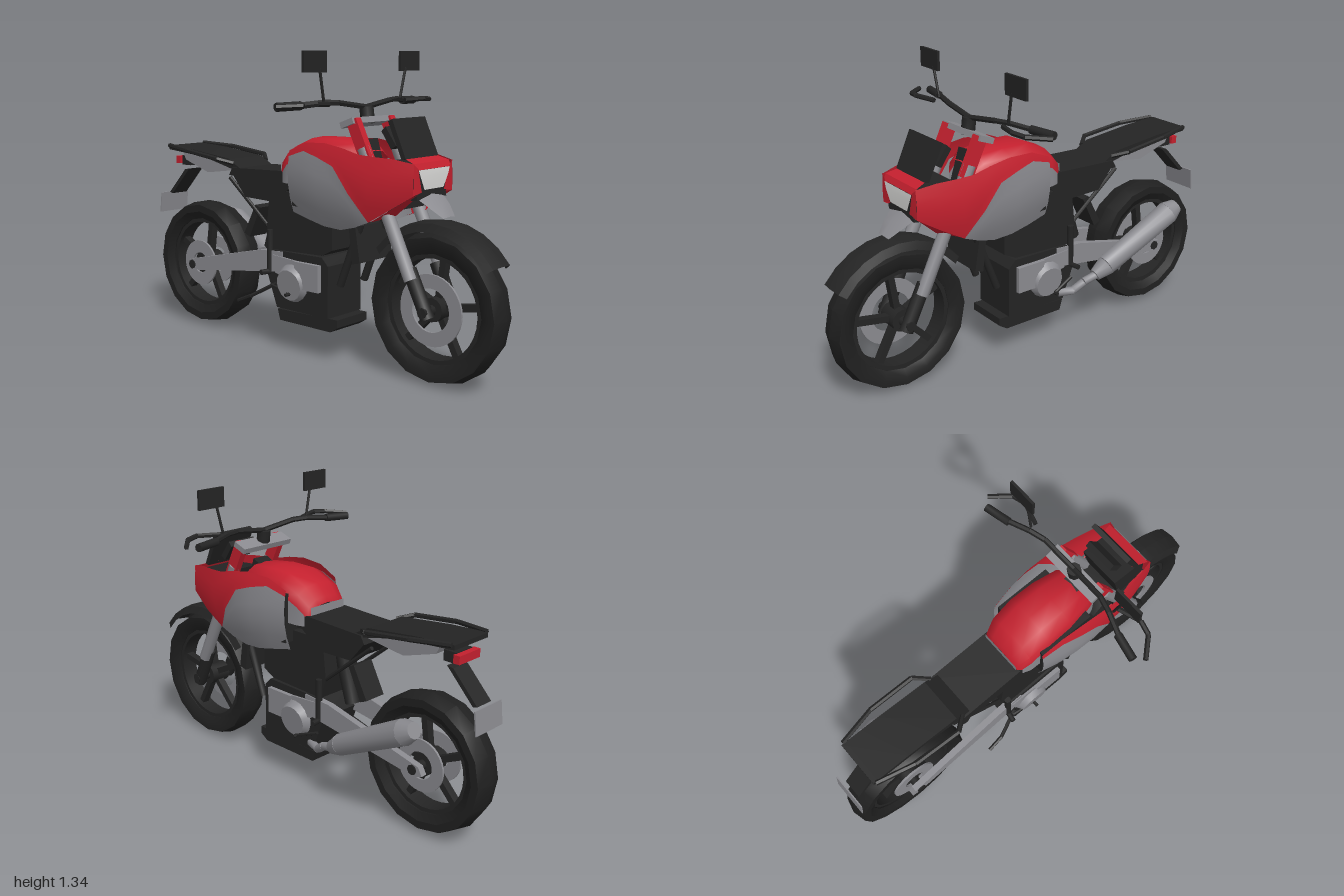
import * as THREE from 'three';
import { toCreasedNormals } from 'three/addons/utils/BufferGeometryUtils.js';

const paint = (name, color) => {
  const m = new THREE.MeshStandardMaterial({ color, side: THREE.DoubleSide });
  m.name = name;
  return m;
};

export function createModel() {
  const bike = new THREE.Group();
  bike.name = 'motorcycle';
  const red = paint('red paint', 0xc4202e), grey = paint('silver grey', 0x8a8a8f);
  const dark = paint('dark plastic', 0x242424), tyreMat = paint('tyre rubber', 0x202020);
  const lamp = paint('lamp glass', 0xd8d8d6);
  const V = (x, y, z) => new THREE.Vector3(x, y, z);

  const add = (name, geo, mat, crease = 0.6, parent = bike) => {
    const mesh = new THREE.Mesh(toCreasedNormals(geo, crease), mat);
    mesh.name = name;
    parent.add(mesh);
    return mesh;
  };
  // round bar between two points
  const rod = (name, a, b, r, mat, r2 = r, sides = 8, parent = bike) => {
    const p = V(...a), q = V(...b);
    const m = add(name, new THREE.CylinderGeometry(r2, r, p.distanceTo(q), sides), mat, 0.9, parent);
    m.position.copy(p).add(q).multiplyScalar(0.5);
    m.quaternion.setFromUnitVectors(V(0, 1, 0), q.sub(p).normalize());
    return m;
  };
  const pipe = (name, pts, r, mat, sides = 6) => {
    for (let i = 1; i < pts.length; i++) rod(name, pts[i - 1], pts[i], r, mat, r, sides);
  };
  // side outline of [z, y] points, extruded from x0 to x1
  const slab = (name, pts, x0, x1, mat) => {
    const s = new THREE.Shape(pts.map(p => new THREE.Vector2(...p)));
    const g = new THREE.ExtrudeGeometry(s, { depth: x1 - x0, bevelEnabled: false });
    return add(name, g.rotateY(-Math.PI / 2).translate(x1, 0, 0), mat, 0.3);
  };
  // surface through rows of points
  const sheet = (name, rows, mat, crease = 0.6) => {
    const n = rows[0].length, idx = [];
    for (let i = 0; i < rows.length - 1; i++)
      for (let j = 0; j < n - 1; j++) {
        const a = i * n + j, b = a + n;
        idx.push(a, b, a + 1, a + 1, b, b + 1);
      }
    const g = new THREE.BufferGeometry();
    g.setAttribute('position', new THREE.Float32BufferAttribute(rows.flat(2), 3));
    g.setIndex(idx);
    return add(name, g, mat, crease);
  };
  const ring = (name, outer, inner, width, x, mat, parent) => {
    const s = new THREE.Shape().absarc(0, 0, outer, 0, Math.PI * 2);
    s.holes.push(new THREE.Path().absarc(0, 0, inner, 0, Math.PI * 2, true));
    const g = new THREE.ExtrudeGeometry(s, { depth: width, bevelEnabled: false, curveSegments: 16 });
    add(name, g.rotateY(Math.PI / 2).translate(x - width / 2, 0, 0), mat, 0.5, parent);
  };

  // Wheels
  const wheel = (name, z, y, R, w) => {
    const g = new THREE.Group();
    g.name = name;
    g.position.set(0, y, z);
    bike.add(g);
    const prof = [[R - 0.085, -w * 0.7], [R - 0.05, -w], [R - 0.016, -w], [R, 0], [R - 0.016, w],
      [R - 0.05, w], [R - 0.085, w * 0.7], [R - 0.085, -w * 0.7]].map(p => new THREE.Vector2(...p));
    add('tyre', new THREE.LatheGeometry(prof, 16).rotateZ(Math.PI / 2), tyreMat, 0.5, g);
    ring('rim', R - 0.08, R - 0.105, 0.08, 0, dark, g);
    for (let i = 0; i < 5; i++) {
      const spoke = new THREE.BoxGeometry(0.035, R - 0.12, 0.028).translate(0, R / 2 - 0.03, 0);
      add('spoke', spoke.rotateX(0.14 + i * Math.PI * 0.4), dark, 0.6, g);
    }
    rod('hub', [-0.05, 0, 0], [0.05, 0, 0], 0.05, dark, 0.05, 12, g);
    rod('axle', [-0.12, 0, 0], [0.12, 0, 0], 0.022, dark, 0.022, 8, g);
    return g;
  };
  const front = wheel('frontWheel', 0.684, 0.318, 0.313, 0.062);
  ring('frontBrakeDisc', 0.148, 0.09, 0.01, -0.055, grey, front);
  const rear = wheel('rearWheel', -0.69, 0.315, 0.303, 0.066);
  ring('rearBrakeDisc', 0.115, 0.06, 0.01, 0.06, grey, rear);
  ring('sprocket', 0.11, 0.05, 0.01, -0.06, grey, rear);

  // Front mudguard
  const arc = [];
  for (let i = 0; i <= 8; i++) {
    const a = (36 + i * 13.2) * Math.PI / 180;
    arc.push([[-0.075, 0.318], [-0.06, 0.352], [0, 0.36], [0.06, 0.352], [0.075, 0.318]]
      .map(([x, r]) => [x, 0.318 + r * Math.sin(a), 0.684 + r * Math.cos(a)]));
  }
  sheet('frontMudguard', arc, dark, 0.3);

  // Fork, clamps, mirrors and bar ends, mirrored
  const forkZ = y => 0.68 - (y - 0.32) * 0.48;
  for (const s of [1, -1]) {
    const at = (x, y) => [s * x, y, forkZ(y)];
    rod('forkTube', at(0.108, 0.44), at(0.108, 0.95), 0.028, grey);
    rod('forkLeg', at(0.09, 0.29), at(0.094, 0.48), 0.03, dark);
    const top = add('forkTop', new THREE.BoxGeometry(0.032, 0.18, 0.055), red);
    top.position.set(s * 0.112, 0.98, forkZ(0.98));
    top.rotation.x = -0.45;
    pipe('handlebar', [[0, 1.11, 0.3], [s * 0.17, 1.133, 0.29], [s * 0.24, 1.135, 0.27], [s * 0.35, 1.125, 0.23]], 0.012, dark);
    rod('grip', [s * 0.33, 1.125, 0.235], [s * 0.445, 1.122, 0.21], 0.018, dark);
    pipe('handGuard', [[s * 0.25, 1.13, 0.31], [s * 0.35, 1.135, 0.34], [s * 0.41, 1.13, 0.325], [s * 0.48, 1.125, 0.245]], 0.011, dark);
    rod('mirrorStem', [s * 0.25, 1.14, 0.285], [s * 0.28, 1.27, 0.29], 0.006, dark);
    add('mirror', new THREE.BoxGeometry(0.135, 0.085, 0.012), dark).position.set(s * 0.308, 1.298, 0.288);
  }
  const clamp = add('topClamp', new THREE.BoxGeometry(0.28, 0.025, 0.07), grey);
  clamp.position.set(0, 1.05, 0.31);
  clamp.rotation.x = -0.35;
  add('lowerClamp', new THREE.BoxGeometry(0.25, 0.03, 0.07), dark).position.set(0, 0.72, 0.49);
  rod('barRiser', [0, 1.04, 0.31], [0, 1.11, 0.3], 0.03, dark);

  // Side panels: bulged sheet split into red and grey along a slanted border
  const width = z => (z > 0.25 ? 0.197 - 0.4 * (z - 0.25) ** 2 : 0.197 - 0.55 * (0.25 - z) ** 2);
  const bulge = (z, y) => width(z) - 0.05 * ((y - 0.82) / 0.2) ** 2;
  const border = [[0.435, 0.655], [0.36, 0.77], [0.28, 0.875], [0.19, 0.905], [0.1, 0.925], [0, 0.895]];
  const topEdge = [[0.47, 0.925], [0.4, 0.93], [0.32, 0.95], [0.22, 0.965], [0.1, 0.96], [0, 0.92]];
  const bottom = [[0.435, 0.655], [0.36, 0.625], [0.28, 0.605], [0.19, 0.61], [0.1, 0.63], [0, 0.65]];
  const redTop = [[0.645, 0.905], [0.56, 0.92], ...topEdge], redLow = [[0.645, 0.78], [0.54, 0.715], ...border];
  const panel = (name, hi, lo, s, mat) => sheet(name, hi.map((h, i) => [0, 0.25, 0.5, 0.75, 1].map(t => {
    const z = h[0] + (lo[i][0] - h[0]) * t, y = h[1] + (lo[i][1] - h[1]) * t;
    return [s * bulge(z, y), y, z];
  })), mat, 0.8);
  for (const s of [1, -1]) {
    panel('redSidePanel', redTop, redLow, s, red);
    panel('greySidePanel', border, bottom, s, grey);
    // front return from panel to lamp opening
    sheet('cowlReturn', [[[s * 0.133, 0.78, 0.645], [s * 0.085, 0.78, 0.64]],
      [[s * 0.143, 0.715, 0.54], [s * 0.1, 0.69, 0.54]], [[s * 0.135, 0.655, 0.435], [s * 0.1, 0.655, 0.435]]], red);
    sheet('cowlCheek', [[[s * 0.13, 0.905, 0.645], [s * 0.105, 0.885, 0.648]],
      [[s * 0.133, 0.78, 0.645], [s * 0.075, 0.79, 0.645]]], red);
  }
  slab('innerBody', [[0.28, 0.9], [0.01, 0.9], [0.01, 0.68], [0.28, 0.66]], -0.145, 0.145, dark);
  slab('headstock', [[0.42, 0.7], [0.33, 0.98], [0.26, 0.95], [0.26, 0.68]], -0.04, 0.04, dark);

  // Tank: red crown over a grey lower body
  const stations = [[0.35, 0.93, 0.09], [0.3, 0.965, 0.11], [0.18, 0.977, 0.128], [0.06, 0.975, 0.132], [-0.04, 0.932, 0.128], [-0.09, 0.885, 0.11], [-0.1, 0.86, 0.1]];
  const tank = f => stations.map(([z, top, w]) => f(top, w).map(([x, y]) => [x, y, z]));
  sheet('tankTop', tank((t, w) => [[-w, t - 0.08], [-w * 0.92, t - 0.03], [-w * 0.55, t - 0.005], [0, t],
    [w * 0.55, t - 0.005], [w * 0.92, t - 0.03], [w, t - 0.08]]), red, 1);
  sheet('tankBody', tank((t, w) => [[w, t - 0.08], [w, 0.77], [-w, 0.77], [-w, t - 0.08]]), grey, 0.5);
  sheet('tankBack', [[[-0.1, 0.78, -0.1], [0.1, 0.78, -0.1]], [[-0.1, 0.855, -0.1], [0.1, 0.855, -0.1]]], grey);

  // Nose: lamp, cowl, beak, screen and instruments
  slab('lampHousing', [[0.64, 0.76], [0.635, 0.885], [0.46, 0.9], [0.5, 0.74]], -0.1, 0.1, dark);
  sheet('headlight', [[[-0.105, 0.88, 0.65], [0.105, 0.88, 0.65]], [[-0.095, 0.855, 0.652], [0.095, 0.855, 0.652]],
    [[-0.065, 0.8, 0.65], [0.065, 0.8, 0.65]]], lamp);
  sheet('noseCowl', [[[-0.115, 0.88, 0.648], [0.115, 0.88, 0.648]], [[-0.12, 0.905, 0.635], [0.12, 0.905, 0.635]],
    [[-0.1, 0.928, 0.56], [0.1, 0.928, 0.56]]], red);
  sheet('beak', [[[-0.095, 0.775, 0.62], [0, 0.785, 0.63], [0.095, 0.775, 0.62]],
    [[-0.07, 0.73, 0.68], [0, 0.745, 0.69], [0.07, 0.73, 0.68]], [[-0.04, 0.69, 0.725], [0, 0.695, 0.73], [0.04, 0.69, 0.725]]], grey);
  slab('windscreen', [[0.59, 0.92], [0.57, 0.915], [0.5, 1.065], [0.52, 1.075]], -0.11, 0.11, dark);
  slab('instruments', [[0.515, 0.965], [0.49, 0.95], [0.44, 1.02], [0.46, 1.04]], -0.075, 0.075, dark);

  // Seat, tail and rack
  slab('riderSeat', [[-0.02, 0.8], [-0.09, 0.82], [-0.4, 0.81], [-0.42, 0.775], [-0.03, 0.755]], -0.115, 0.115, dark);
  slab('passengerSeat', [[-0.36, 0.81], [-0.43, 0.848], [-0.68, 0.875], [-0.86, 0.885], [-0.86, 0.865], [-0.6, 0.845], [-0.4, 0.8]], -0.105, 0.105, dark);
  slab('tailFairing', [[-0.38, 0.8], [-0.45, 0.835], [-0.78, 0.858], [-0.76, 0.82], [-0.6, 0.77]], -0.085, 0.085, grey);
  slab('sideCover', [[-0.03, 0.76], [-0.41, 0.775], [-0.33, 0.68], [-0.15, 0.675]], -0.1, 0.1, dark);
  for (const s of [1, -1]) {
    pipe('grabRail', [[s * 0.105, 0.83, -0.4], [s * 0.155, 0.85, -0.46], [s * 0.15, 0.875, -0.68], [s * 0.11, 0.885, -0.85]], 0.011, dark);
    rod('subframeStrut', [s * 0.09, 0.76, -0.44], [s * 0.09, 0.55, -0.18], 0.009, dark);
    rod('frontDownTube', [s * 0.08, 0.63, 0.34], [s * 0.08, 0.35, 0.23], 0.017, dark);
    slab('swingarm', [[-0.08, 0.46], [-0.22, 0.45], [-0.72, 0.335], [-0.74, 0.3], [-0.7, 0.285], [-0.08, 0.37]], s * 0.1 - 0.015, s * 0.1 + 0.015, grey);
    rod('footPeg', [s * 0.1, 0.36, -0.16], [s * 0.16, 0.36, -0.17], 0.012, dark);
    rod('footPegBracket', [s * 0.11, 0.55, -0.16], [s * 0.11, 0.36, -0.16], 0.015, dark);
  }
  add('tailLight', new THREE.BoxGeometry(0.13, 0.035, 0.03), red).position.set(0, 0.812, -0.842);
  add('tailLightBase', new THREE.BoxGeometry(0.1, 0.045, 0.06), dark).position.set(0, 0.81, -0.8);
  slab('plateHolder', [[-0.785, 0.77], [-0.815, 0.765], [-0.935, 0.64], [-0.915, 0.635]], -0.045, 0.045, dark);
  const plate = add('numberPlate', new THREE.BoxGeometry(0.17, 0.1, 0.006), grey);
  plate.position.set(0, 0.59, -0.958);
  plate.rotation.x = 0.12;
  slab('rearHugger', [[-0.28, 0.63], [-0.31, 0.64], [-0.385, 0.5], [-0.35, 0.485]], -0.055, 0.055, dark);
  rod('shockAbsorber', [0, 0.66, -0.19], [0, 0.44, -0.26], 0.035, dark);

  // Engine
  slab('cylinderBlock', [[0.2, 0.67], [0.2, 0.5], [0.14, 0.47], [-0.16, 0.46], [-0.19, 0.56], [-0.17, 0.73], [0.05, 0.73]], -0.1, 0.1, dark);
  slab('crankcase', [[0.185, 0.43], [0.15, 0.465], [-0.14, 0.46], [-0.19, 0.38], [-0.12, 0.2], [0.185, 0.2]], -0.11, 0.11, dark);
  slab('skidPlate', [[0.23, 0.2], [0.23, 0.165], [0.19, 0.14], [-0.11, 0.14], [-0.125, 0.19]], -0.1, 0.1, dark);
  slab('radiator', [[0.3, 0.62], [0.335, 0.62], [0.36, 0.47], [0.32, 0.46]], -0.11, 0.11, dark);
  for (const s of [1, -1]) {
    rod('clutchCover', [s * 0.1, 0.325, -0.02], [s * 0.14, 0.32, -0.02], 0.095, grey, 0.07, 16);
    slab('engineCover', [[0.145, 0.43], [0.145, 0.31], [0.03, 0.31], [0.0, 0.43]], s * 0.118 - 0.012, s * 0.118 + 0.012, grey);
    slab('gearCover', [[0.0, 0.43], [0.0, 0.33], [-0.12, 0.36], [-0.14, 0.44]], s * 0.112 - 0.008, s * 0.112 + 0.008, grey);
  }

  // Exhaust on the left, stand and pedals
  pipe('exhaustPipe', [[0.1, 0.23, -0.1], [0.125, 0.23, -0.17], [0.14, 0.265, -0.22], [0.152, 0.29, -0.3]], 0.019, grey, 8);
  rod('silencerNeck', [0.15, 0.285, -0.28], [0.157, 0.32, -0.34], 0.03, grey, 0.048, 12);
  rod('silencer', [0.157, 0.32, -0.34], [0.182, 0.505, -0.7], 0.048, grey, 0.056, 12);
  rod('silencerEnd', [0.182, 0.505, -0.7], [0.186, 0.53, -0.75], 0.056, grey, 0.035, 12);
  pipe('sideStand', [[-0.11, 0.31, -0.12], [-0.155, 0.24, -0.24], [-0.16, 0.205, -0.32]], 0.009, dark);
  pipe('gearPedal', [[-0.12, 0.3, -0.14], [-0.13, 0.28, -0.02], [-0.16, 0.28, -0.02]], 0.008, dark);
  pipe('brakePedal', [[0.12, 0.3, -0.16], [0.14, 0.26, -0.05], [0.16, 0.26, -0.05]], 0.008, dark);
  return bike;
}
